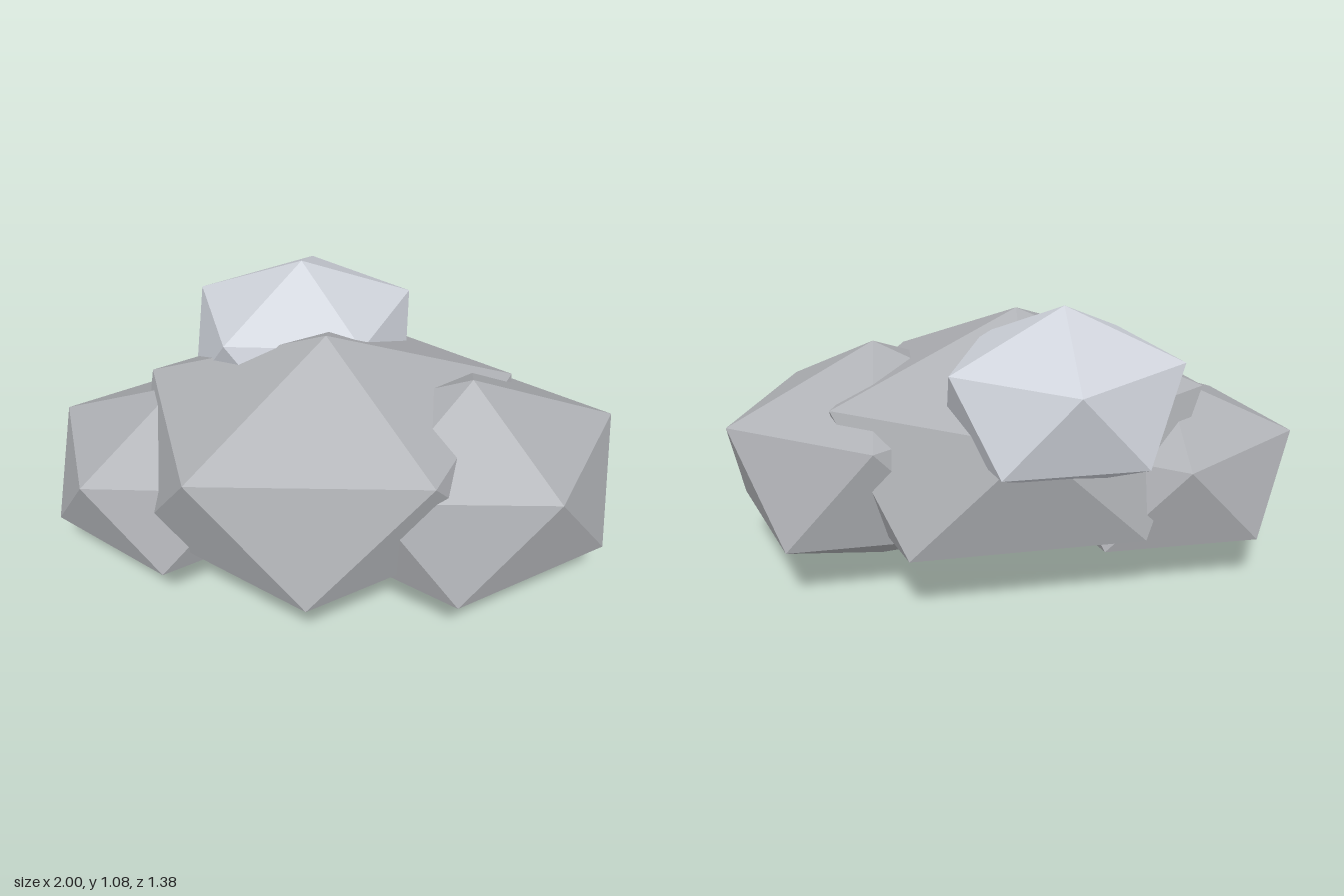
import * as THREE from 'three';
import { ConvexGeometry } from 'three/addons/geometries/ConvexGeometry.js';

// Twenty-sided boulder standing on a point, with its upper ring pointing to +x.
// rx and rz are the ring radii, ry is half the height.
function boulderGeometry(rx, ry, rz) {
  const points = [new THREE.Vector3(0, ry, 0), new THREE.Vector3(0, -ry, 0)];
  const ringY = ry / Math.sqrt(5);
  for (let i = 0; i < 5; i++) {
    const a = (i * Math.PI * 2) / 5;
    const b = a + Math.PI / 5;
    points.push(
      new THREE.Vector3(rx * Math.cos(a), ringY, rz * Math.sin(a)),
      new THREE.Vector3(rx * Math.cos(b), -ringY, rz * Math.sin(b))
    );
  }
  return new ConvexGeometry(points);
}

export function createModel() {
  const group = new THREE.Group();
  group.name = 'rockPile';

  const grey = new THREE.MeshStandardMaterial({ color: 0xafb1b5 });
  grey.name = 'stone grey';
  const pale = new THREE.MeshStandardMaterial({ color: 0xd0d4dc });
  pale.name = 'pale stone';

  // name, ring radii and half height, centre, material
  const boulders = [
    ['centreBoulder', [0.705, 0.49, 0.605], [-0.015, 0.49, 0.03], grey],
    ['frontLeftBoulder', [0.549, 0.43, 0.465], [0.45, 0.43, 0.245], grey],
    ['backRightBoulder', [0.48, 0.358, 0.435], [-0.52, 0.358, -0.185], grey],
    ['topBoulder', [0.415, 0.324, 0.379], [-0.015, 0.76, -0.328], pale],
  ];
  for (const [name, size, centre, material] of boulders) {
    const mesh = new THREE.Mesh(boulderGeometry(...size), material);
    mesh.name = name;
    mesh.position.set(...centre);
    group.add(mesh);
  }
  return group;
}
